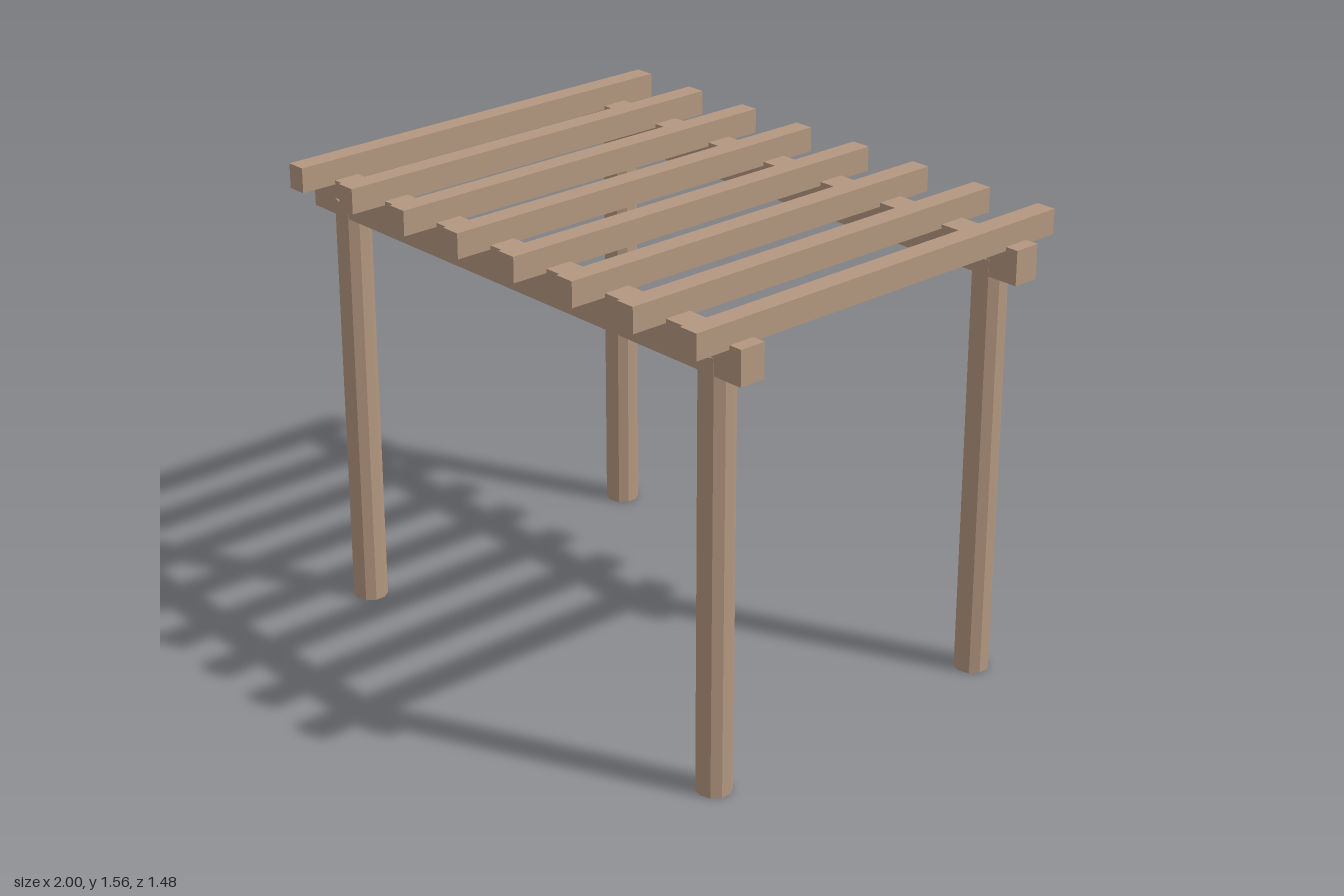
import * as THREE from 'three';

export function createModel() {
  const pergola = new THREE.Group();
  pergola.name = 'pergola';
  const wood = new THREE.MeshStandardMaterial({ color: 0xb39780, flatShading: true });
  wood.name = 'weathered wood';

  const add = (name, geometry, x, y, z) => {
    const mesh = new THREE.Mesh(geometry, wood);
    mesh.name = name;
    mesh.position.set(x, y, z);
    pergola.add(mesh);
  };

  const postX = 0.857, beamZ = 0.571;
  const postHeight = 1.43;

  // Round posts at the four corners, reaching partway into the beams
  const post = new THREE.CylinderGeometry(0.057, 0.057, postHeight, 10);
  // Long beams joining the posts at front and back
  const beam = new THREE.BoxGeometry(2, 0.114, 0.091);
  for (const side of [1, -1]) {
    const row = side > 0 ? 'front' : 'back';
    add(row + 'Beam', beam, 0, 1.433, side * beamZ);
    add(row + 'LeftPost', post, postX, postHeight / 2, side * beamZ);
    add(row + 'RightPost', post, -postX, postHeight / 2, side * beamZ);
  }

  // Evenly spaced rafters notched slightly into the beams
  const rafter = new THREE.BoxGeometry(0.068, 0.083, 1.484);
  const count = 8, reach = 0.92;
  for (let i = 0; i < count; i++) {
    add('rafter' + (i + 1), rafter, -reach + (2 * reach * i) / (count - 1), 1.518, 0);
  }
  return pergola;
}
